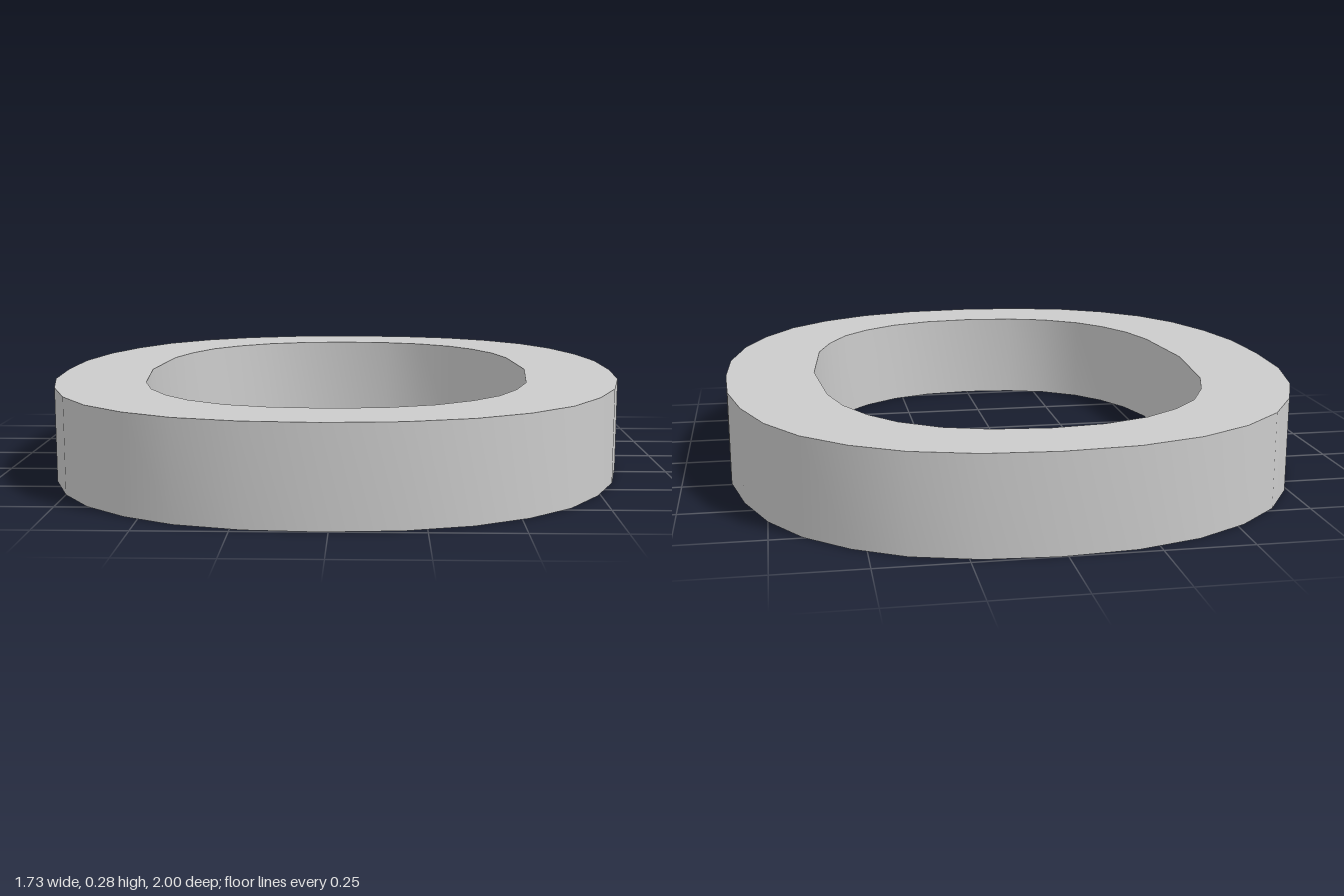
import * as THREE from 'three';
import { toCreasedNormals } from 'three/addons/utils/BufferGeometryUtils.js';

const HEIGHT = 0.278;

// Half outlines as [x, z]; the other half is the same turned by 180 degrees
const OUTER = [
  [0.02, -1], [0.22, -0.985], [0.4, -0.935], [0.54, -0.855], [0.66, -0.745], [0.75, -0.605],
  [0.815, -0.43], [0.855, -0.24], [0.865, -0.02], [0.855, 0.2], [0.81, 0.41], [0.74, 0.58],
  [0.645, 0.73], [0.52, 0.845], [0.37, 0.93], [0.19, 0.983],
];
const INNER = [
  [0, -0.78], [0.16, -0.765], [0.285, -0.725], [0.395, -0.65], [0.47, -0.56], [0.53, -0.445],
  [0.567, -0.31], [0.595, -0.015], [0.567, 0.29], [0.525, 0.43], [0.465, 0.55], [0.385, 0.64],
  [0.28, 0.715], [0.15, 0.763],
];

// Full closed outline, counter-clockwise in the shape plane, where shape y is -z
function outline(half) {
  const turned = half.map(([x, z]) => [-x, -z]);
  return [...half, ...turned].map(([x, z]) => new THREE.Vector2(x, -z)).reverse();
}

export function createModel() {
  const group = new THREE.Group();
  group.name = 'ovalRing';

  // Flat oval band with an open centre
  const shape = new THREE.Shape(outline(OUTER));
  shape.holes.push(new THREE.Path(outline(INNER)));
  const extruded = new THREE.ExtrudeGeometry(shape, { depth: HEIGHT, bevelEnabled: false });
  extruded.rotateX(-Math.PI / 2);

  // Smooth walls with sharp rims
  const geometry = toCreasedNormals(extruded, Math.PI / 4);
  const ring = new THREE.Mesh(geometry, new THREE.MeshStandardMaterial({ color: 0xcccccc }));
  ring.name = 'ringBand';
  group.add(ring);
  return group;
}
